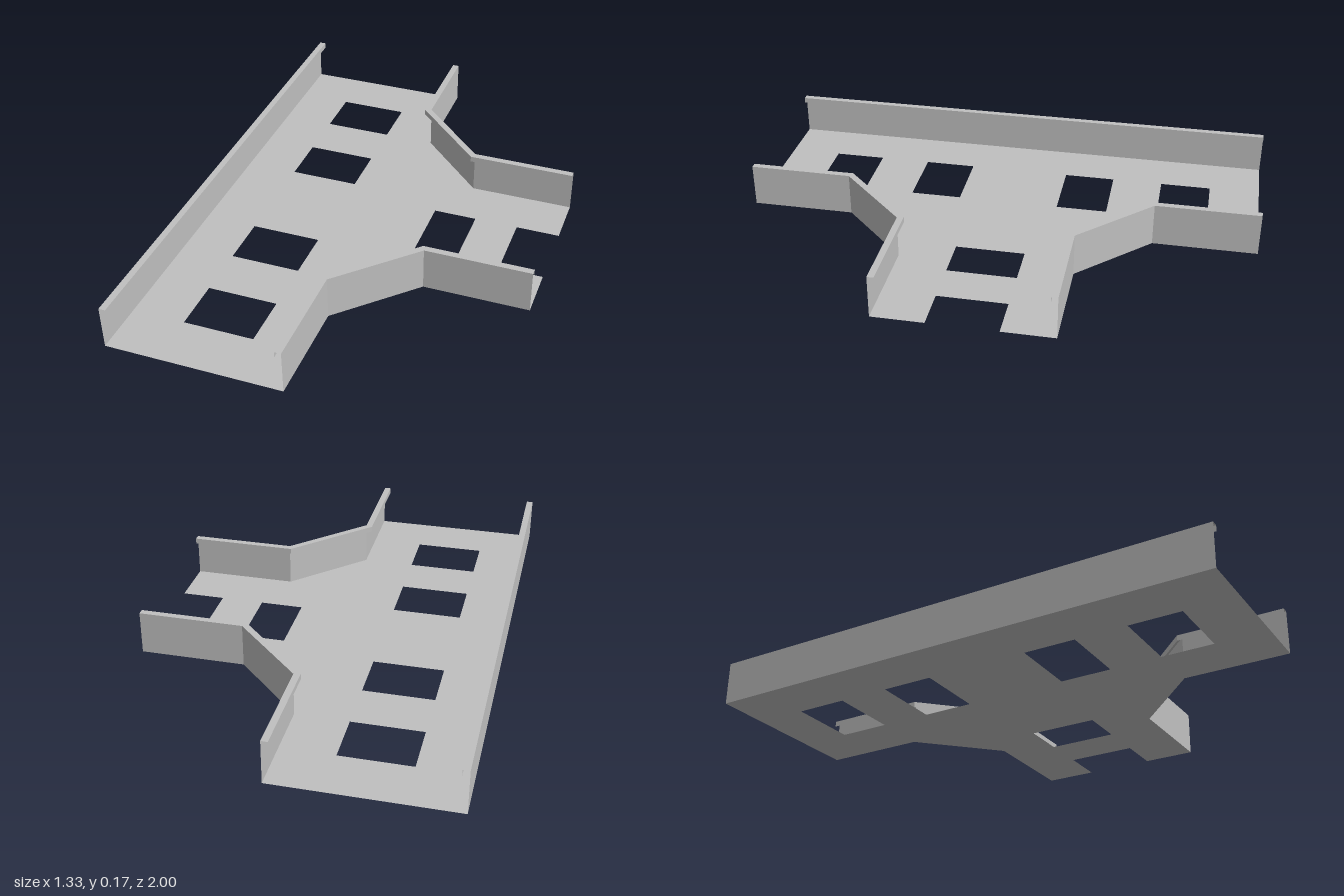
import * as THREE from 'three';

const H = 0.167, LIP = 0.025, FLANGE = 0.022, W = 0.667, N = 0.333;

const steel = new THREE.MeshStandardMaterial({ color: 0xc0c0c0, side: THREE.DoubleSide });
steel.name = 'galvanised grey';

// Folded sheet: a wall with an inward lip and a short down-turned flange, mitred along a path of [x, z].
// The inside lies on the (dz, -dx) side of the path.
function foldedWall(name, path) {
  const section = [[0, 0], [0, H], [LIP, H], [LIP, H - FLANGE]];
  const normals = path.slice(1).map(([x, z], i) => {
    const d = new THREE.Vector2(z - path[i][1], path[i][0] - x);
    return d.normalize();
  });
  const rows = path.map(([x, z], i) => {
    const a = normals[Math.max(i - 1, 0)], b = normals[Math.min(i, normals.length - 1)];
    const m = a.clone().add(b).divideScalar(1 + a.dot(b));
    return section.map(([o, y]) => [x + m.x * o, y, z + m.y * o]);
  });
  const pos = [];
  for (let i = 0; i + 1 < rows.length; i++) {
    for (let j = 0; j + 1 < section.length; j++) {
      const a = rows[i][j], b = rows[i + 1][j], c = rows[i + 1][j + 1], d = rows[i][j + 1];
      pos.push(...a, ...c, ...b, ...a, ...d, ...c);
    }
  }
  const geo = new THREE.BufferGeometry();
  geo.setAttribute('position', new THREE.Float32BufferAttribute(pos, 3));
  geo.computeVertexNormals();
  const mesh = new THREE.Mesh(geo, steel);
  mesh.name = name;
  return mesh;
}

const outline = (pts) => pts.map(([x, y]) => new THREE.Vector2(x, y));

export function createModel() {
  const group = new THREE.Group();
  group.name = 'trayTee';

  // Floor sheet with a notch in the branch end
  const floor = new THREE.Shape(outline([
    [-W, -1], [0, -1], [0, -0.6], [0.267, -N], [W, -N], [W, -0.133], [0.5, -0.133],
    [0.5, 0.133], [W, 0.133], [W, N], [0.267, N], [0, 0.6], [0, 1], [-W, 1],
  ]));
  const cut = (x0, x1, z0, z1) =>
    floor.holes.push(new THREE.Path(outline([[x0, z0], [x0, z1], [x1, z1], [x1, z0]])));
  for (const z of [-0.8, -0.4, 0.2, 0.6]) cut(-0.467, -0.2, z, z + 0.2);
  cut(0.167, 0.333, -0.133, 0.133);
  const base = new THREE.Mesh(new THREE.ShapeGeometry(floor).rotateX(-Math.PI / 2), steel);
  base.name = 'floor';
  group.add(base);

  // Straight wall and the two angled branch walls
  const bend = [[W, N], [0.267, N], [0, 0.6], [0, 1]];
  group.add(
    foldedWall('straightWall', [[-W, -1], [-W, 1]]),
    foldedWall('frontBranchWall', [...bend].reverse()),
    foldedWall('backBranchWall', bend.map(([x, z]) => [x, -z])),
  );
  return group;
}
